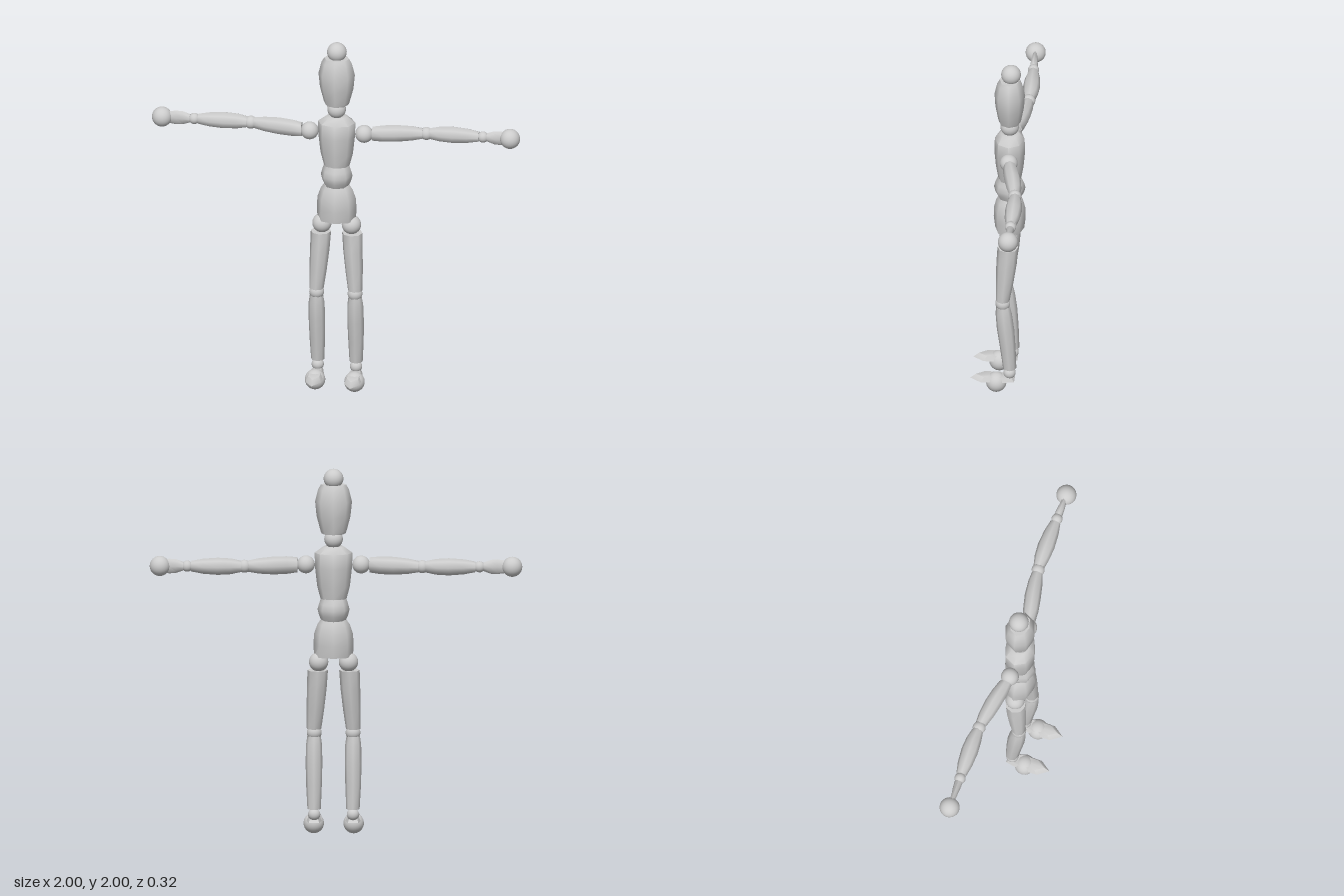
import * as THREE from 'three';
import { toCreasedNormals } from 'three/addons/utils/BufferGeometryUtils.js';

const material = new THREE.MeshStandardMaterial({ color: 0xcccccc });
const SIDES = 8;

// Skin a closed solid over rings of points (counter-clockwise seen from the last ring)
function skin(rings) {
  const n = rings[0].length;
  const pos = [];
  const tri = (a, b, c) => pos.push(...a, ...b, ...c);
  const centre = (r) => [0, 1, 2].map((k) => r.reduce((s, p) => s + p[k], 0) / n);
  for (let i = 0; i < rings.length - 1; i++) {
    for (let j = 0; j < n; j++) {
      const k = (j + 1) % n;
      const [a, b, c, d] = [rings[i][j], rings[i][k], rings[i + 1][k], rings[i + 1][j]];
      tri(a, b, c);
      tri(a, c, d);
    }
  }
  const first = rings[0], last = rings[rings.length - 1];
  const c0 = centre(first), c1 = centre(last);
  for (let j = 0; j < n; j++) {
    const k = (j + 1) % n;
    tri(c0, first[k], first[j]);
    tri(c1, last[j], last[k]);
  }
  const g = new THREE.BufferGeometry();
  g.setAttribute('position', new THREE.Float32BufferAttribute(pos, 3));
  return toCreasedNormals(g, 1.0);
}

// Octagonal ring round a vertical axis: centre and half sizes in x and z
function ringY([x, y, z, rx, rz]) {
  return Array.from({ length: SIDES }, (_, i) => {
    const a = (i / SIDES) * Math.PI * 2;
    return [x + rx * Math.sin(a), y, z + rz * Math.cos(a)];
  });
}

// Octagonal ring round the x axis: centre and half sizes in y and z
function ringX([x, y, z, ry, rz]) {
  return Array.from({ length: SIDES }, (_, i) => {
    const a = (i / SIDES) * Math.PI * 2;
    return [x, y + ry * Math.cos(a), z + rz * Math.sin(a)];
  });
}

export function createModel() {
  const model = new THREE.Group();
  model.name = 'jointedMannequin';

  const add = (name, geometry) => {
    const mesh = new THREE.Mesh(geometry, material);
    mesh.name = name;
    model.add(mesh);
    return mesh;
  };
  const ball = (name, r, x, y, z) =>
    add(name, new THREE.SphereGeometry(r, 32, 20)).position.set(x, y, z);
  const upright = (name, rows) =>
    add(name, skin([...rows].sort((a, b) => a[1] - b[1]).map(ringY)));
  const sideways = (name, rows) =>
    add(name, skin([...rows].sort((a, b) => a[0] - b[0]).map(ringX)));

  // Torso and head, from rows of [height, half width, half depth]
  const X = 0.013, Z = -0.046;
  const core = (name, rows) => upright(name, rows.map(([y, rx, rz]) => [X, y, Z, rx, rz]));
  core('pelvis', [[0.975, 0.104, 0.078], [1.04, 0.108, 0.086], [1.1, 0.104, 0.085],
    [1.15, 0.087, 0.072], [1.175, 0.07, 0.06]]);
  core('abdomen', [[1.172, 0.066, 0.062], [1.2, 0.078, 0.077], [1.232, 0.086, 0.085],
    [1.262, 0.078, 0.077], [1.292, 0.068, 0.064]]);
  core('chest', [[1.29, 0.07, 0.062], [1.36, 0.088, 0.074], [1.46, 0.099, 0.083],
    [1.54, 0.102, 0.08], [1.575, 0.055, 0.05]]);
  ball('neck', 0.05, X, 1.615, Z);
  core('head', [[1.645, 0.064, 0.058], [1.66, 0.07, 0.062], [1.74, 0.091, 0.077],
    [1.82, 0.099, 0.082], [1.885, 0.083, 0.068], [1.912, 0.068, 0.054]]);
  ball('topKnot', 0.053, X, 1.945, -0.053);

  // Arms, spread sideways and angled slightly back
  const Y = 1.477;
  for (const s of [-1, 1]) {
    const side = s > 0 ? 'left' : 'right';
    const at = (d) => X + s * d;
    const limb = (name, rows) =>
      sideways(side + name, rows.map(([d, z, ry, rz]) => [at(d), Y, z, ry, rz]));
    ball(side + 'Shoulder', 0.048, at(0.148), Y, -0.052);
    limb('UpperArm', [[0.192, -0.062, 0.041, 0.035], [0.25, -0.073, 0.048, 0.043],
      [0.32, -0.087, 0.049, 0.045], [0.4, -0.1, 0.042, 0.04], [0.457, -0.108, 0.031, 0.03]]);
    ball(side + 'Elbow', 0.035, at(0.477), Y, -0.111);
    limb('Forearm', [[0.494, -0.113, 0.031, 0.03], [0.55, -0.115, 0.043, 0.041],
      [0.62, -0.115, 0.047, 0.046], [0.7, -0.114, 0.041, 0.04], [0.762, -0.113, 0.029, 0.028]]);
    ball(side + 'Wrist', 0.03, at(0.784), Y, -0.112);
    limb('Palm', [[0.806, -0.112, 0.024, 0.022], [0.845, -0.111, 0.038, 0.02],
      [0.88, -0.11, 0.04, 0.016], [0.93, -0.11, 0.033, 0.013]]);
    ball(side + 'Hand', 0.054, s > 0 ? 0.944 : -0.946, Y, -0.11);
  }

  // Legs, hanging from the pelvis with slightly bent knees
  for (const s of [-1, 1]) {
    const side = s > 0 ? 'left' : 'right';
    const at = (d) => X + s * d;
    const limb = (name, rows) =>
      upright(side + name, rows.map(([y, d, z, rx, rz]) => [at(d), y, z, rx, rz]));
    ball(side + 'Hip', 0.052, at(0.08), 0.945, Z);
    limb('Thigh', [[0.9, 0.085, -0.043, 0.055, 0.056], [0.8, 0.09, -0.036, 0.053, 0.055],
      [0.68, 0.098, -0.026, 0.047, 0.047], [0.575, 0.105, -0.017, 0.039, 0.037]]);
    ball(side + 'Knee', 0.04, at(0.104), 0.555, -0.017);
    limb('Shin', [[0.537, 0.105, -0.018, 0.036, 0.037], [0.49, 0.105, -0.022, 0.043, 0.044],
      [0.39, 0.105, -0.032, 0.045, 0.047], [0.27, 0.105, -0.044, 0.042, 0.042],
      [0.145, 0.104, -0.054, 0.036, 0.036]]);
    ball(side + 'Ankle', 0.033, at(0.104), 0.115, -0.053);

    // Pointed flat foot with bevelled upper edge, resting on a ball
    const sole = [[0, 0.158], [0.042, 0.1], [0.044, 0.0], [0.028, -0.08],
      [-0.028, -0.08], [-0.044, 0.0], [-0.042, 0.1]];
    const level = (y, w, l) => sole.map(([x, z]) => [at(0.105) + x * w, y, 0.02 + (z - 0.02) * l]);
    add(side + 'Foot', skin([level(0.072, 1, 1), level(0.098, 0.72, 0.78)]));
    ball(side + 'FootBall', 0.055, at(0.107), 0.055, 0.018);
  }
  return model;
}
